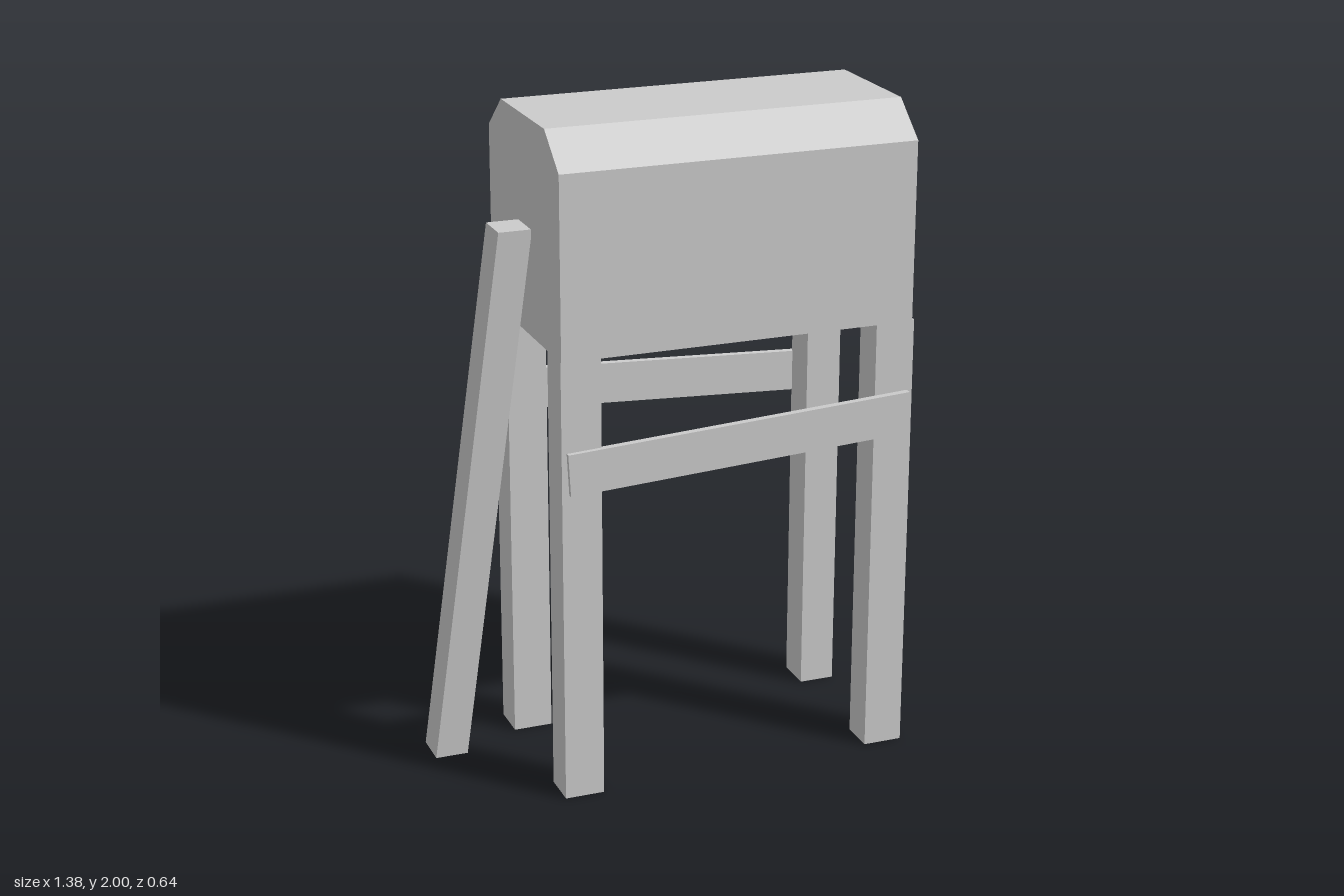
import * as THREE from 'three';

const material = new THREE.MeshStandardMaterial({ color: 0xcccccc, flatShading: true });

export function createModel() {
  const group = new THREE.Group();
  const add = (name, geometry) => {
    const mesh = new THREE.Mesh(geometry, material);
    mesh.name = name;
    group.add(mesh);
    return mesh;
  };
  // Box given by its minimum and maximum corners
  const box = (name, [x0, y0, z0], [x1, y1, z1]) => {
    const mesh = add(name, new THREE.BoxGeometry(x1 - x0, y1 - y0, z1 - z0));
    mesh.position.set((x0 + x1) / 2, (y0 + y1) / 2, (z0 + z1) / 2);
    return mesh;
  };

  // Body: chamfered end profile (drawn in -z, y) extruded along x
  const left = 0.677, right = -0.405, bottom = 1.36;
  const profile = new THREE.Shape([
    [-0.31, bottom], [0.318, bottom], [0.318, 1.9],
    [0.198, 2], [-0.19, 2], [-0.31, 1.9],
  ].map(([a, y]) => new THREE.Vector2(a, y)));
  const body = new THREE.ExtrudeGeometry(profile, { depth: left - right, bevelEnabled: false });
  body.rotateY(Math.PI / 2);
  body.translate(right, 0, 0);
  add('body', body);

  // Four square legs
  box('frontLeftLeg', [0.57, 0, 0.187], [0.69, bottom, 0.297]);
  box('frontRightLeg', [-0.405, 0, 0.19], [-0.285, bottom, 0.304]);
  box('backLeftLeg', [0.567, 0, -0.3], [0.677, bottom, -0.182]);
  box('backRightLeg', [-0.405, 0, -0.3], [-0.285, bottom, -0.182]);

  // Slightly crooked rails nailed across the front and back legs
  for (const [name, side] of [['frontRail', 1], ['backRail', -1]]) {
    const rail = add(name, new THREE.BoxGeometry(1.065, 0.127, 0.022));
    rail.position.set(0.145, 1.052, side * 0.308);
    rail.rotation.z = side * 0.054;
  }

  // Leaning prop: a post sheared so both ends stay level
  const height = 1.67;
  const prop = new THREE.BoxGeometry(0.1, height, 0.115);
  prop.applyMatrix4(new THREE.Matrix4().set(
    1, 0.193 / height, 0, -0.548,
    0, 1, 0, 0.01 + height / 2,
    0, 0.125 / height, 1, -0.06,
    0, 0, 0, 1,
  ));
  prop.computeVertexNormals();
  add('leaningProp', prop);

  return group;
}
